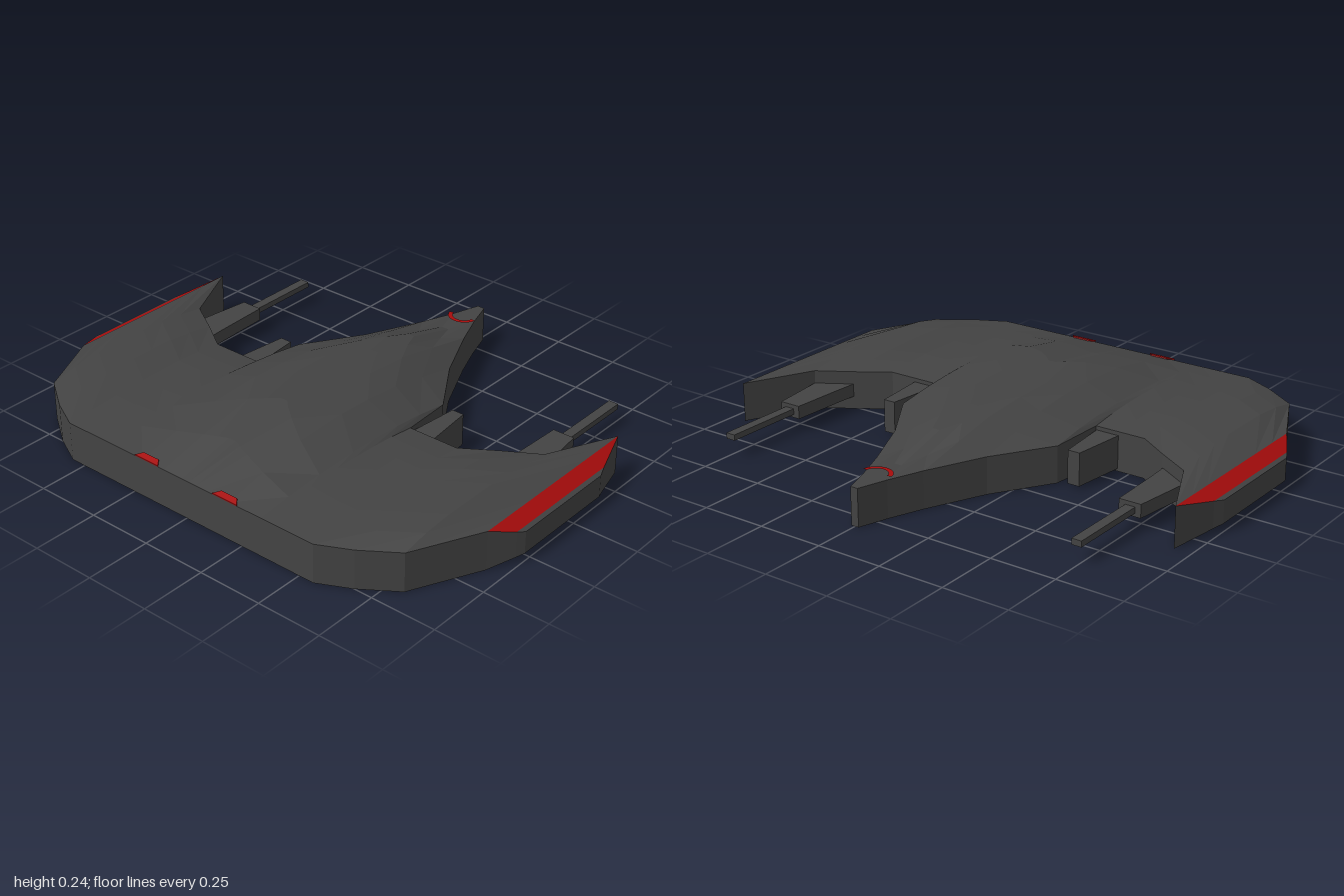
import * as THREE from 'three';

const hullGray = new THREE.MeshStandardMaterial({ color: 0x434343, flatShading: true });
hullGray.name = 'hullGray';
const markRed = new THREE.MeshStandardMaterial({ color: 0xa80c0c, flatShading: true });
markRed.name = 'markRed';

// Lengthwise stations, from the front edge (0) to the rear edge (1)
const STATIONS = [0, 0.14, 0.3, 0.48, 0.6, 0.73, 0.86, 1];

// Hull ribs at +x: x, front z, rear z, bottom y, top heights at the stations
const same = (y) => STATIONS.map(() => y);
const RIBS = [
  [0.015, 0.81, -0.82, 0, [0.15, 0.2, 0.24, 0.23, 0.222, 0.2, 0.142, 0.14]],
  [0.05, 0.81, -0.71, 0, [0.15, 0.2, 0.24, 0.232, 0.225, 0.21, 0.155, 0.14]],
  [0.1, 0.81, -0.58, 0, [0.15, 0.197, 0.236, 0.235, 0.23, 0.215, 0.18, 0.14]],
  [0.2, 0.81, -0.36, 0, [0.15, 0.185, 0.217, 0.225, 0.22, 0.205, 0.175, 0.14]],
  [0.34, 0.81, -0.14, 0, [0.15, 0.164, 0.175, 0.18, 0.178, 0.172, 0.16, 0.14]],
  [0.36, 0.81, 0.07, 0, [0.15, 0.16, 0.17, 0.175, 0.174, 0.17, 0.163, 0.15]],
  [0.46, 0.81, 0.07, 0, [0.15, 0.157, 0.163, 0.167, 0.167, 0.166, 0.16, 0.15]],
  [0.56, 0.81, 0.07, 0, [0.15, 0.157, 0.163, 0.166, 0.166, 0.166, 0.16, 0.15]],
  [0.68, 0.75, -0.01, 0, [0.15, 0.167, 0.178, 0.18, 0.18, 0.178, 0.168, 0.15]],
  [0.81, 0.66, -0.09, 0, [0.15, 0.17, 0.18, 0.18, 0.18, 0.176, 0.166, 0.15]],
  [0.935, 0.4, -0.35, 0, same(0.15)],
  [0.985, 0.31, -0.19, 0.023, same(0.122)],
  [1.0, 0.28, -0.15, 0.03, same(0.115)],
];

function ribRing([x, front, rear, bottom, tops], side) {
  const ring = STATIONS.map((t, i) => [side * x, tops[i], front + (rear - front) * t]);
  ring.push([side * x, bottom, rear], [side * x, bottom, front]);
  return ring;
}

function facetMesh(name, triangles, material) {
  const geometry = new THREE.BufferGeometry();
  geometry.setAttribute('position', new THREE.Float32BufferAttribute(triangles.flat(2), 3));
  geometry.computeVertexNormals();
  const mesh = new THREE.Mesh(geometry, material);
  mesh.name = name;
  return mesh;
}

// Flat outline in (x, z) made into a slab between two heights
function slab(name, outline, y0, y1, material) {
  const shape = new THREE.Shape(outline.map(([x, z]) => new THREE.Vector2(x, -z)));
  const geometry = new THREE.ExtrudeGeometry(shape, { depth: y1 - y0, bevelEnabled: false });
  geometry.rotateX(-Math.PI / 2);
  geometry.translate(0, y0, 0);
  const mesh = new THREE.Mesh(geometry, material);
  mesh.name = name;
  return mesh;
}

function buildHull(group) {
  const rings = [
    ...RIBS.slice().reverse().map((r) => ribRing(r, -1)),
    ...RIBS.map((r) => ribRing(r, 1)),
  ];
  const gray = [];
  const red = [];
  const n = rings[0].length;
  for (let k = 0; k < rings.length - 1; k++) {
    const a = rings[k];
    const b = rings[k + 1];
    // The sloped strip just inside each wing edge is red
    const isStrip = k === 1 || k === rings.length - 3;
    for (let i = 0; i < n; i++) {
      const j = (i + 1) % n;
      const target = isStrip && i < STATIONS.length - 1 ? red : gray;
      if (b[0][0] > 0) target.push([a[i], b[i], b[j]], [a[i], b[j], a[j]]);
      else target.push([a[i], b[i], a[j]], [b[i], b[j], a[j]]);
    }
  }
  // Outer end caps
  const L = rings[0];
  const R = rings[rings.length - 1];
  gray.push([R[0], R[9], R[8]], [R[0], R[8], R[7]]);
  gray.push([L[0], L[8], L[9]], [L[0], L[7], L[8]]);
  group.add(facetMesh('hull', gray, hullGray), facetMesh('wingEdgeStripes', red, markRed));
}

// Thin plate lying on the front slope
function frontMark(side) {
  const points = [[0.125, 0.81], [0.235, 0.81], [0.215, 0.785], [0.145, 0.785]];
  const mark = slab('frontMark', points.map(([x, z]) => [side * x, z - 0.81]), 0, 0.005, markRed);
  mark.rotation.x = 0.22;
  mark.position.set(0, 0.151, 0.811);
  return mark;
}

export function createModel() {
  const model = new THREE.Group();
  model.name = 'ship';
  buildHull(model);

  for (const side of [1, -1]) {
    const mirror = (points) => points.map(([x, z]) => [side * x, z]);
    const label = side > 0 ? 'left' : 'right';

    // Rear prong beside the tail
    model.add(slab(label + 'Prong',
      mirror([[0.36, 0.09], [0.455, 0.09], [0.43, -0.14], [0.382, -0.14]]), 0.01, 0.135, hullGray));

    // Rear gun: tapered housing and barrel
    const gun = new THREE.Group();
    gun.name = label + 'Gun';
    gun.add(slab('gunHousing',
      mirror([[0.683, 0.02], [0.81, 0.02], [0.81, -0.1], [0.783, -0.31], [0.698, -0.31], [0.69, -0.1]]),
      0.05, 0.1, hullGray));
    const barrel = new THREE.Mesh(new THREE.BoxGeometry(0.038, 0.022, 0.335), hullGray);
    barrel.name = 'gunBarrel';
    barrel.position.set(side * 0.742, 0.074, -0.4575);
    gun.add(barrel);
    model.add(gun, frontMark(side));
  }

  // Curved mark on the tail
  const arc = new THREE.Mesh(
    new THREE.RingGeometry(0.044, 0.061, 12, 1, Math.PI * 1.06, Math.PI * 0.88), markRed);
  arc.name = 'tailMark';
  arc.rotation.x = -Math.PI / 2;
  arc.position.set(0, 0.15, -0.71);
  model.add(arc);
  return model;
}
